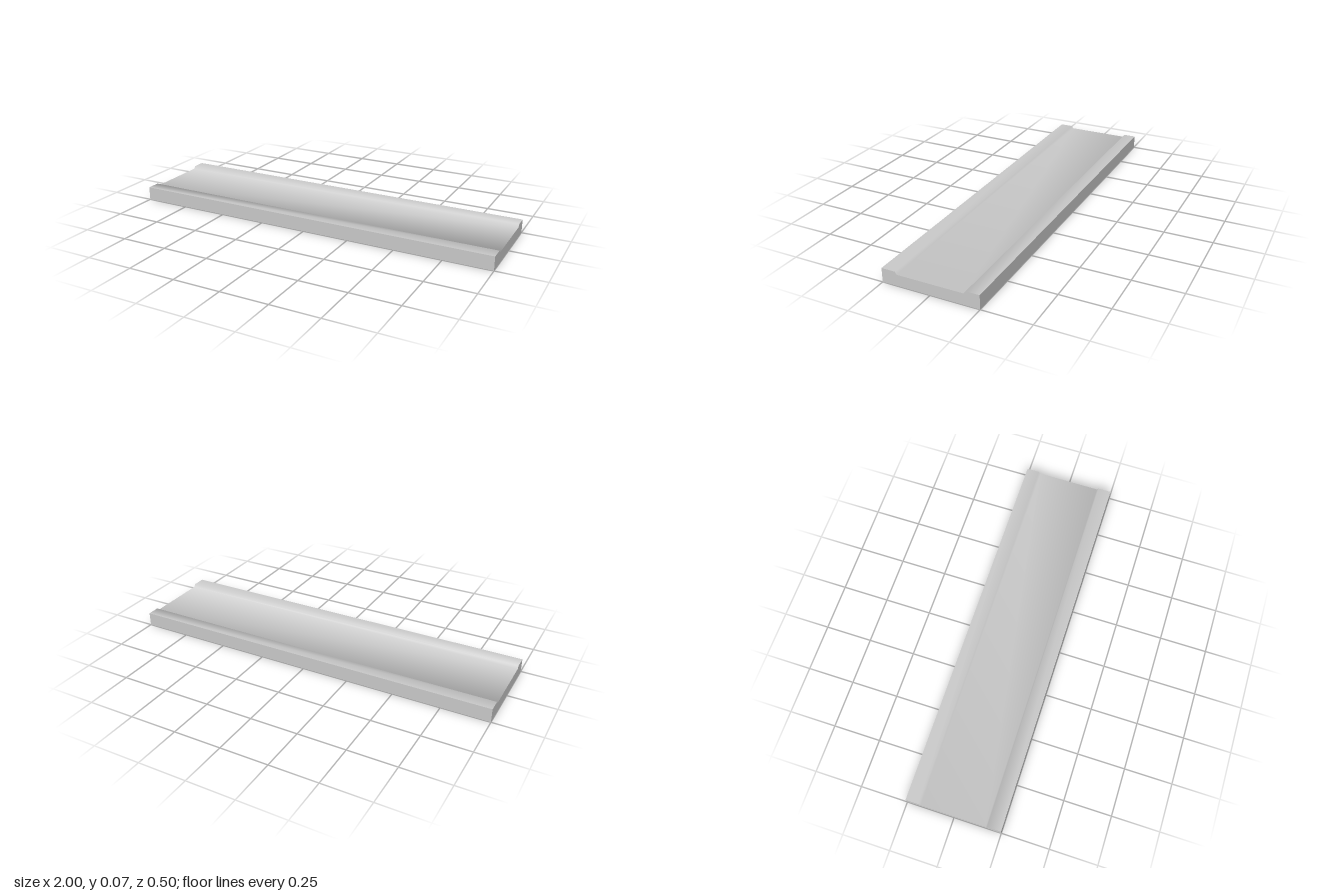
import * as THREE from 'three';
import { toCreasedNormals } from 'three/addons/utils/BufferGeometryUtils.js';

export function createModel() {
  const group = new THREE.Group();
  group.name = 'recessedPlank';
  const material = new THREE.MeshStandardMaterial({ color: 0xcccccc });

  // Cross-section: flat base, raised lip on each long edge, sunken middle
  const length = 2, half = 0.25, top = 0.073, floor = 0.059;
  const profile = [
    [-half, 0], [half, 0], [half, top], [0.182, top],
    [0.171, floor], [-0.17, floor], [-0.178, top], [-half, top],
  ];
  const shape = new THREE.Shape(profile.map(([x, y]) => new THREE.Vector2(x, y)));

  // Run the section along x; the lip slopes shade softly, the corners stay sharp
  const solid = new THREE.ExtrudeGeometry(shape, { depth: length, bevelEnabled: false });
  solid.translate(0, 0, -length / 2).rotateY(Math.PI / 2);
  const plank = new THREE.Mesh(toCreasedNormals(solid, THREE.MathUtils.degToRad(70)), material);
  plank.name = 'plank';
  group.add(plank);
  return group;
}
